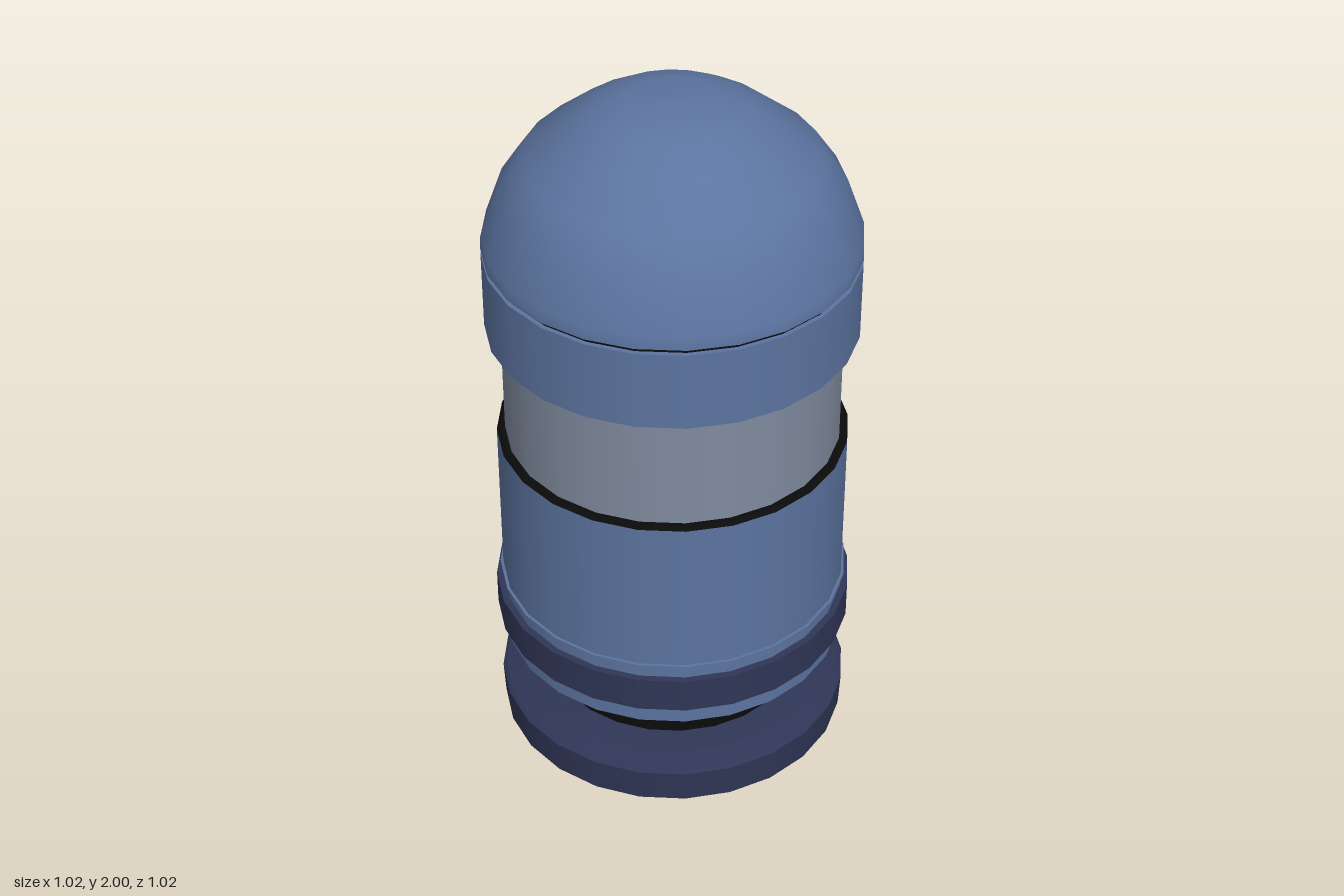
import * as THREE from 'three';
import { mergeGeometries } from 'three/addons/utils/BufferGeometryUtils.js';

const SIDES = 24;

function material(name, color) {
  const m = new THREE.MeshStandardMaterial({ color });
  m.name = name;
  return m;
}

export function createModel() {
  const blue = material('steel blue', 0x5c74a0);
  const navy = material('navy', 0x2f3656);
  const grey = material('grey', 0x808b9e);
  const black = material('black', 0x0b0b0b);
  const model = new THREE.Group();
  model.name = 'domedCanister';

  const lathe = (points) =>
    new THREE.LatheGeometry(points.map(([r, y]) => new THREE.Vector2(r, y)), SIDES);

  function add(name, mat, geometry) {
    const mesh = new THREE.Mesh(geometry, mat);
    mesh.name = name;
    model.add(mesh);
  }

  // Turned part with a crisp edge at every profile point, listed so that the outside runs upward
  function turned(name, mat, points) {
    const bands = points.slice(1).map((p, i) => lathe([points[i], p]));
    add(name, mat, mergeGeometries(bands));
  }

  // Foot with a shallow recess underneath
  turned('foot', navy, [
    [0.45, 0.03], [0.45, 0], [0.5, 0], [0.505, 0.1], [0.495, 0.108], [0.44, 0.127], [0.36, 0.138],
  ]);
  turned('footRecess', black, [[0, 0.03], [0.45, 0.03]]);
  turned('neck', black, [[0.365, 0.13], [0.365, 0.235]]);

  // Lower body
  turned('lowerBody', blue, [[0.36, 0.23], [0.49, 0.29], [0.49, 0.97]]);
  turned('lowerBand', navy, [[0.488, 0.35], [0.51, 0.35], [0.51, 0.455], [0.488, 0.455]]);
  turned('thinRib', blue, [[0.488, 0.49], [0.498, 0.49], [0.498, 0.5], [0.488, 0.5]]);
  turned('bodyRim', black, [[0.49, 0.97], [0.48, 0.98], [0.46, 0.98]]);

  // Window section
  turned('middleSection', grey, [[0.467, 0.97], [0.467, 1.32]]);

  // Upper collar and the seam below the dome
  turned('collarUnderside', black, [[0.46, 1.31], [0.485, 1.31], [0.51, 1.323]]);
  turned('collar', blue, [[0.51, 1.323], [0.51, 1.55], [0.49, 1.55]]);
  turned('domeSeam', black, [[0.497, 1.545], [0.497, 1.57]]);

  // Dome
  turned('domeEdge', blue, [[0.49, 1.565], [0.51, 1.565]]);
  add('dome', blue, lathe([
    [0.51, 1.565], [0.508, 1.603], [0.46, 1.737], [0.397, 1.828], [0.28, 1.922],
    [0.2, 1.97], [0.12, 1.993], [0, 2],
  ]));

  return model;
}
